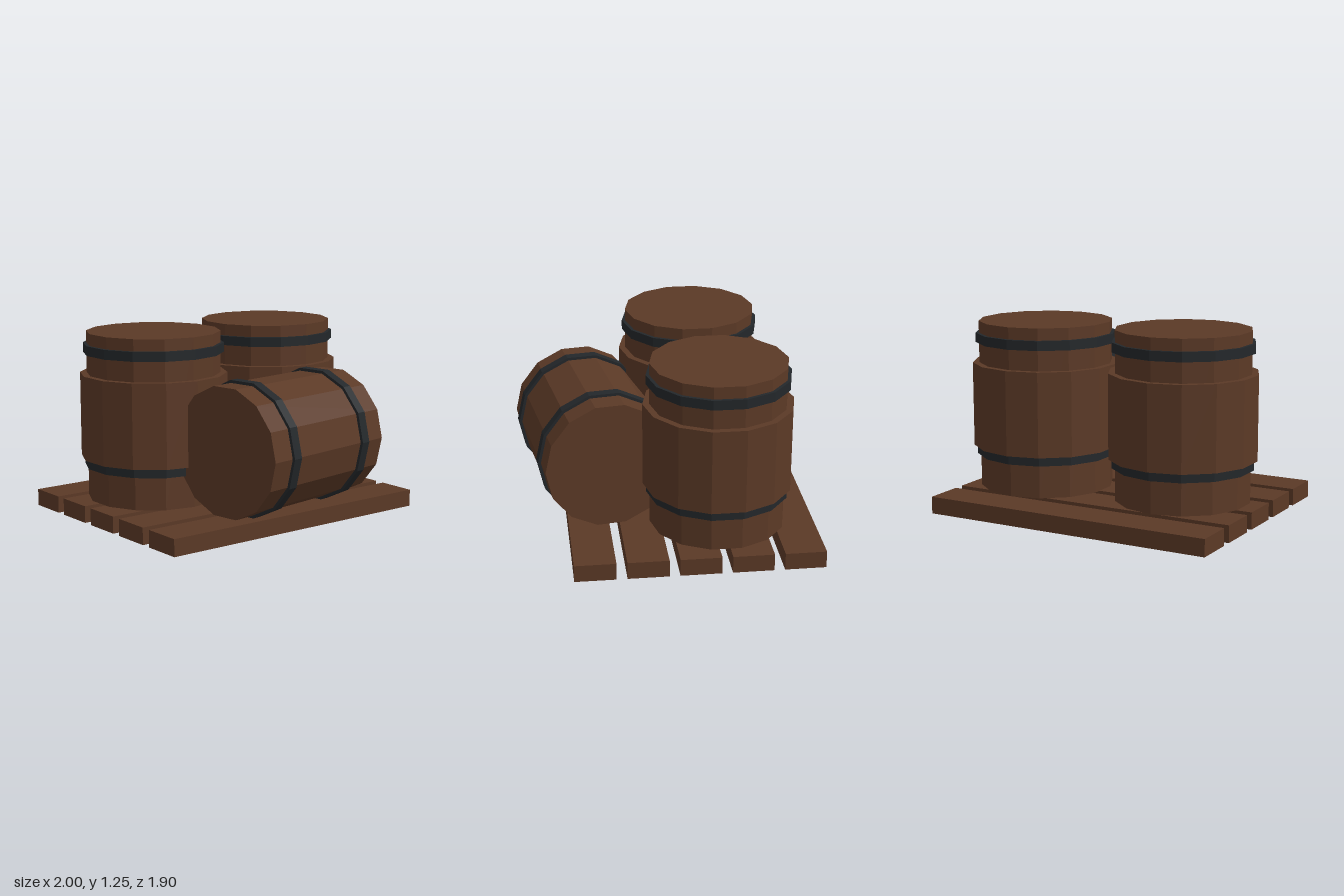
import * as THREE from 'three';

const SIDES = 14;

export function createModel() {
  const wood = new THREE.MeshStandardMaterial({ color: 0x5b3926 });
  wood.name = 'brown wood';
  const iron = new THREE.MeshStandardMaterial({ color: 0x23272a });
  iron.name = 'dark iron';

  const model = new THREE.Group();
  model.name = 'barrelPallet';

  // Faceted cylinder spanning y0..y1 along its own axis
  function drum(name, radius, y0, y1, material, sides = SIDES) {
    const geometry = new THREE.CylinderGeometry(radius, radius, y1 - y0, sides).toNonIndexed();
    geometry.computeVertexNormals();
    const mesh = new THREE.Mesh(geometry, material);
    mesh.name = name;
    mesh.position.y = (y0 + y1) / 2;
    return mesh;
  }

  // Pallet: five planks running along x
  const pallet = new THREE.Group();
  pallet.name = 'pallet';
  for (let i = 0; i < 5; i++) {
    const plank = new THREE.Mesh(new THREE.BoxGeometry(2, 0.113, 0.266), wood);
    plank.name = 'plank';
    plank.position.set(0, 0.0565, 0.515 - i * 0.3345);
    pallet.add(plank);
  }
  model.add(pallet);

  // Two standing barrels with a wider middle and two hoops
  for (const [name, x, z] of [['rightBarrel', -0.5, -0.265], ['leftBarrel', 0.5, -0.323]]) {
    const barrel = new THREE.Group();
    barrel.name = name;
    barrel.add(
      drum('barrelCore', 0.444, 0.137, 1.247, wood),
      drum('barrelBelly', 0.488, 0.413, 0.971, wood),
      drum('lowerHoop', 0.466, 0.354, 0.416, iron),
      drum('upperHoop', 0.466, 1.106, 1.169, iron)
    );
    barrel.position.set(x, 0, z);
    model.add(barrel);
  }

  // Barrel lying on its side at the front, turned slightly
  const lying = new THREE.Group();
  lying.name = 'lyingBarrel';
  lying.add(drum('lyingCore', 0.426, -0.525, 0.525, wood));
  for (const s of [-1, 1]) {
    lying.add(drum('lyingHoop', 0.445, s * 0.335 - 0.033, s * 0.335 + 0.033, iron));
  }
  lying.rotation.set(0, 0.15, Math.PI / 2);
  lying.position.set(0, 0.557, 0.448);
  model.add(lying);

  // Small dark peg on the pallet between the barrels
  const peg = drum('peg', 0.025, 0.1, 0.14, iron, 8);
  peg.position.x = 0.015;
  peg.position.z = -0.045;
  model.add(peg);

  return model;
}
